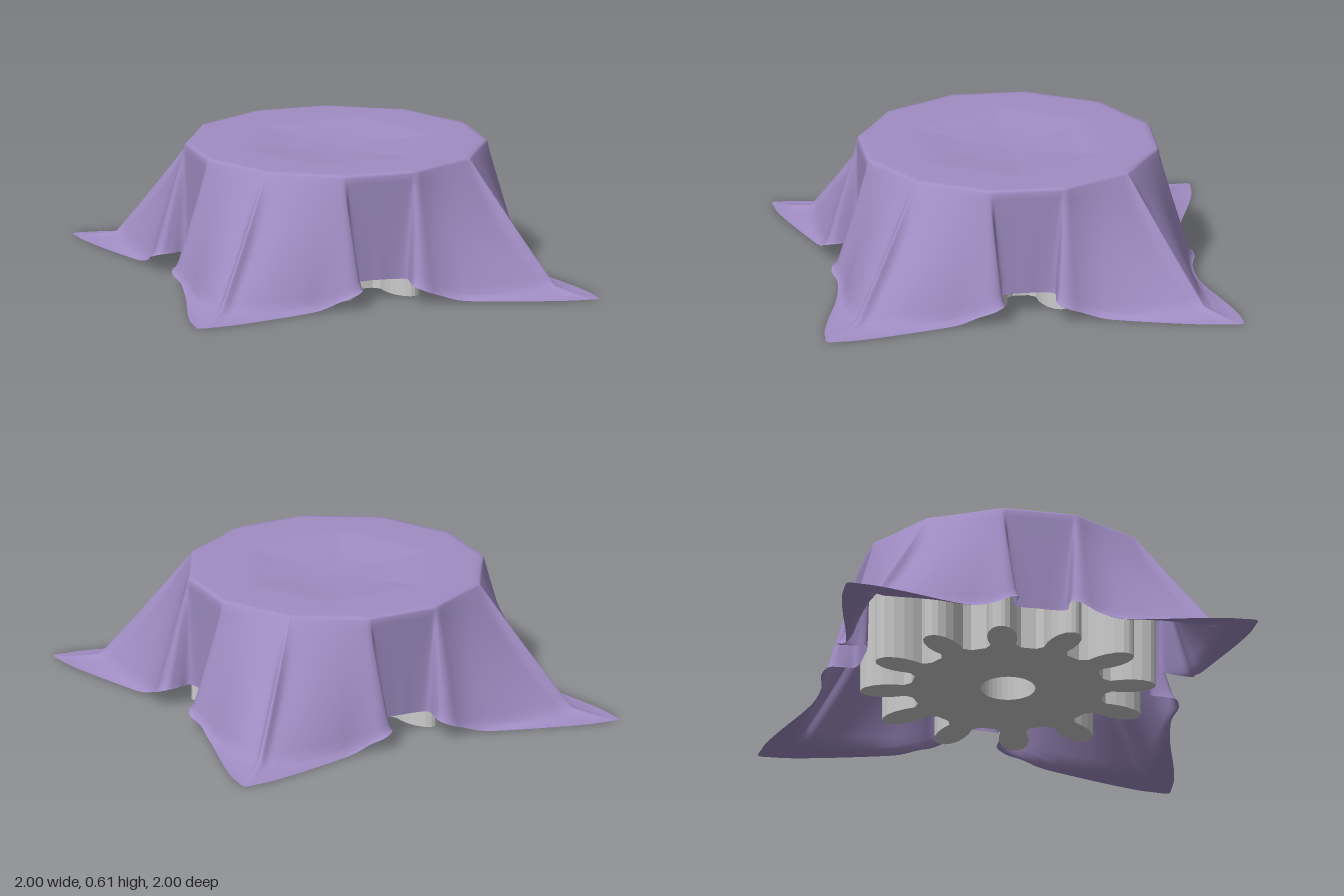
import * as THREE from 'three';

const GEAR_H = 0.578;
const TEETH = 12;

// One eighth of the skirt, from the middle of a side to the corner.
// Each column: rim x,z | foot x,y,z | hem x,y,z
const COLUMNS = [
  [0.000, 0.700, 0.000, 0.17, 0.700, 0.00, 0.098, 0.700],
  [0.090, 0.700, 0.070, 0.17, 0.700, 0.07, 0.097, 0.700],
  [0.160, 0.699, 0.130, 0.16, 0.712, 0.13, 0.095, 0.718],
  [0.174, 0.698, 0.134, 0.15, 0.765, 0.125, 0.090, 0.785],
  [0.184, 0.695, 0.140, 0.14, 0.815, 0.13, 0.085, 0.845],
  [0.197, 0.689, 0.180, 0.11, 0.838, 0.18, 0.065, 0.868],
  [0.220, 0.675, 0.250, 0.08, 0.826, 0.25, 0.038, 0.850],
  [0.260, 0.650, 0.330, 0.05, 0.825, 0.34, 0.010, 0.860],
  [0.330, 0.610, 0.440, 0.03, 0.838, 0.46, 0.002, 0.888],
  [0.420, 0.560, 0.620, 0.025, 0.845, 0.70, 0.000, 0.956],
  [0.480, 0.527, 0.740, 0.025, 0.840, 0.85, 0.000, 0.990],
  [0.500, 0.515, 0.790, 0.03, 0.830, 0.93, 0.000, 0.997],
  [0.510, 0.510, 0.830, 0.04, 0.830, 0.995, 0.000, 0.995],
];

// Mirror the eighth about the diagonal, then turn it four times.
function closedLoop(pick) {
  const eighth = COLUMNS.map(pick);
  const back = eighth.slice(1, -1).reverse().map(([x, y, z]) => [z, y, x]);
  const quarter = [...eighth, ...back];
  const points = [];
  for (let q = 0; q < 4; q++) {
    for (const [x, y, z] of quarter) {
      const p = [[x, z], [z, -x], [-x, -z], [-z, x]][q];
      points.push(new THREE.Vector3(p[0], y, p[1]));
    }
  }
  const count = points.length * 4;
  const curve = new THREE.CatmullRomCurve3(points, true, 'centripetal');
  return Array.from({ length: count }, (_, i) => curve.getPoint(i / count));
}

function clothGeometry() {
  const rim = closedLoop((c) => [c[0], 0.6, c[1]]);
  const foot = closedLoop((c) => [c[2], c[3], c[4]]);
  const hem = closedLoop((c) => [c[5], c[6], c[7]]);
  const n = rim.length;
  const rows = [];

  // Top, sagging a little inside a hexagon
  for (const s of [0.001, 0.15, 0.3, 0.4, 0.5, 0.56, 0.62, 0.7, 0.85, 0.95, 0.988]) {
    rows.push(rim.map((p) => {
      const x = p.x * s, z = p.z * s;
      const hex = Math.max(Math.abs(z), Math.abs(z) * 0.5 + Math.abs(x) * 0.866);
      const sag = 0.028 * Math.max(0, 1 - (hex / 0.41) ** 2);
      return new THREE.Vector3(x, (s > 0.97 ? 0.611 : 0.614) - sag, z);
    }));
  }

  // Hanging skirt, drawn in around each corner with a narrow ridge on the diagonal
  for (let i = 0; i <= 14; i++) {
    const t = i / 14;
    rows.push(rim.map((p, j) => {
      const v = p.clone().lerp(foot[j], t);
      const d = Math.abs(Math.abs(v.x) - Math.abs(v.z));
      const ridge = 0.025 * Math.exp(-((d / 0.035) ** 2)) - 0.03 * Math.exp(-((d / 0.2) ** 2));
      const pull = 1 + ridge * Math.sin(Math.PI * t);
      v.x *= pull;
      v.z *= pull;
      return v;
    }));
  }

  // Lower edge spreading on the floor
  for (let i = 1; i <= 4; i++) {
    const t = i / 4;
    rows.push(foot.map((p, j) => {
      const v = p.clone().lerp(hem[j], t);
      v.y = THREE.MathUtils.lerp(hem[j].y, p.y, (1 - t) ** 1.7);
      return v;
    }));
  }

  const positions = [];
  const index = [];
  rows.forEach((row) => row.forEach((p) => positions.push(p.x, Math.max(p.y, 0.001), p.z)));
  for (let r = 0; r < rows.length - 1; r++) {
    for (let c = 0; c < n; c++) {
      const d = (c + 1) % n;
      const a = r * n, b = a + n;
      index.push(a + c, b + c, a + d, b + c, b + d, a + d);
    }
  }
  const geometry = new THREE.BufferGeometry();
  geometry.setAttribute('position', new THREE.Float32BufferAttribute(positions, 3));
  geometry.setIndex(index);
  geometry.computeVertexNormals();
  return geometry;
}

function gearGeometry() {
  // Half of a leaf-shaped tooth: radius, half width
  const tooth = [[0.49, 0.06], [0.54, 0.069], [0.59, 0.071], [0.64, 0.062], [0.68, 0.042], [0.697, 0.02]];
  const outline = [];
  for (let k = 0; k < TEETH; k++) {
    const angle = ((k + 0.5) / TEETH) * Math.PI * 2;
    const add = (r, w) => outline.push(new THREE.Vector2(r, w).rotateAround(new THREE.Vector2(), angle));
    tooth.forEach(([r, w]) => add(r, -w));
    add(0.702, 0);
    [...tooth].reverse().forEach(([r, w]) => add(r, w));
    // Valley before the next tooth
    const valley = angle + Math.PI / TEETH;
    for (const o of [-0.08, 0.08]) {
      outline.push(new THREE.Vector2(0.462 * Math.cos(valley + o), 0.462 * Math.sin(valley + o)));
    }
  }
  const shape = new THREE.Shape(outline);
  shape.holes.push(new THREE.Path().absarc(0, 0, 0.13, 0, Math.PI * 2, true));
  const geometry = new THREE.ExtrudeGeometry(shape, { depth: GEAR_H, bevelEnabled: false, curveSegments: 16 });
  geometry.rotateX(-Math.PI / 2);
  return geometry;
}

export function createModel() {
  const group = new THREE.Group();
  group.name = 'drapedGear';

  const gear = new THREE.Mesh(gearGeometry(), new THREE.MeshStandardMaterial({ color: 0xcccccc }));
  gear.name = 'gear';

  const cloth = new THREE.Mesh(
    clothGeometry(),
    new THREE.MeshStandardMaterial({ color: 0xa18dc4, side: THREE.DoubleSide }),
  );
  cloth.name = 'cloth';

  group.add(gear, cloth);
  return group;
}
